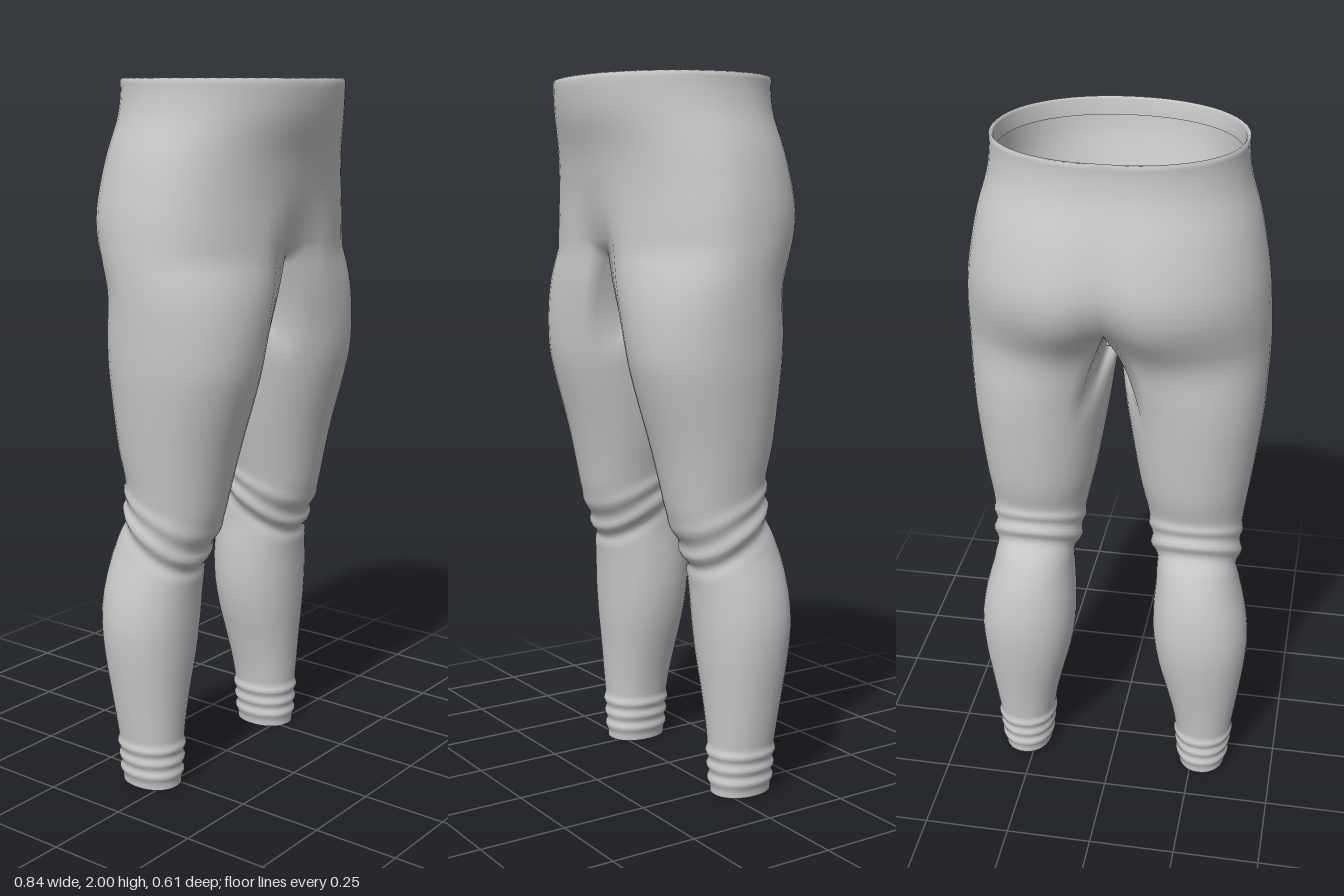
import * as THREE from 'three';
import { mergeVertices } from 'three/addons/utils/BufferGeometryUtils.js';

const M = 28, K = 12;          // points round the outer half, points along the crotch seam
const TOP = 1.53, SPLIT = 1.2; // seam height, height where the legs are fully separate

// y, half width, back z, front z, back cleft, front dip
const PELVIS = [
  [2.0, 0.34, -0.25, 0.31, 0.004, 0], [1.97, 0.338, -0.247, 0.31, 0.004, 0],
  [1.9, 0.347, -0.255, 0.302, 0.006, 0], [1.8, 0.377, -0.287, 0.275, 0.012, 0],
  [1.7, 0.398, -0.311, 0.262, 0.02, 0.004], [1.63, 0.409, -0.317, 0.26, 0.03, 0.016],
  [1.57, 0.414, -0.306, 0.26, 0.045, 0.036], [TOP, 0.417, -0.288, 0.26, 0.058, 0.056],
];
// y, inner x, outer x, back z, front z
const LEG = [
  [TOP, 0, 0.417, -0.27, 0.26], [1.43, 0.002, 0.42, -0.216, 0.26], [1.3, 0.016, 0.416, -0.2, 0.25],
  [1.2, 0.03, 0.41, -0.19, 0.235], [1.0, 0.065, 0.386, -0.165, 0.18], [0.9, 0.088, 0.372, -0.142, 0.157],
  [0.8, 0.108, 0.362, -0.145, 0.135], [0.7, 0.125, 0.365, -0.185, 0.092], [0.6, 0.12, 0.39, -0.205, 0.074],
  [0.5, 0.121, 0.404, -0.21, 0.066], [0.4, 0.135, 0.4, -0.2, 0.058], [0.3, 0.16, 0.388, -0.183, 0.048],
  [0.2, 0.184, 0.375, -0.166, 0.04], [0.12, 0.196, 0.364, -0.156, 0.035], [0, 0.208, 0.352, -0.15, 0.03],
];

// smooth lookup of a table row at height y
function sample(table, y) {
  let i = 0;
  while (i < table.length - 2 && y < table[i + 1][0]) i++;
  const a = table[i], b = table[i + 1], h = b[0] - a[0], t = (y - a[0]) / h;
  const p = table[Math.max(i - 1, 0)], n = table[Math.min(i + 2, table.length - 1)];
  return a.map((v, k) => {
    const m0 = (b[k] - p[k]) / (b[0] - p[0]) * h, m1 = (n[k] - v) / (n[0] - a[0]) * h;
    return v * (2 * t ** 3 - 3 * t * t + 1) + m0 * (t ** 3 - 2 * t * t + t)
      + b[k] * (3 * t * t - 2 * t ** 3) + m1 * (t ** 3 - t * t);
  });
}
const bump = (v, w) => Math.exp(-((v / w) ** 2));
const power = (v, e) => Math.sign(v) * Math.abs(v) ** e;

// half ring of the pelvis, from front centre round the side to back centre
function pelvisRing(y, scale = 1, yOut = y) {
  const [, w, zb, zf, cleft, dip] = sample(PELVIS, y), mid = 0.02, ring = [];
  for (let j = 0; j <= M; j++) {
    const a = Math.PI * j / M, c = Math.cos(a);
    const x = j === 0 || j === M ? 0 : w * Math.sin(a) ** 0.95;
    const crease = bump(x, 0.075);
    const z = mid + (c > 0 ? (zf - mid) * c ** 0.95 - dip * crease : (zb - mid) * (-c) ** 0.9 + cleft * crease);
    ring.push(new THREE.Vector3(x * scale, yOut, mid + (z - mid) * scale));
  }
  return ring;
}

// closed ring of one leg, with the knee folds and ankle gathers
function legRing(level) {
  const ring = [];
  for (let j = 0; j < M + K; j++) {
    const deg = j <= M ? 130 - 260 * j / M : -130 - 100 * (j - M) / K;
    const a = deg * Math.PI / 180, c = Math.cos(a), s = Math.sin(a);
    const y = level - 0.075 * s * bump(level - 0.76, 0.2);
    const [, xi, xo, zb, zf] = sample(LEG, y);
    let fold = 0.011 * bump(level - 0.765, 0.018) + 0.007 * bump(level - 0.825, 0.018) - 0.006 * bump(level - 0.73, 0.02);
    for (const g of [0.04, 0.08, 0.12]) fold += 0.007 * bump(level - g, 0.012);
    ring.push(new THREE.Vector3(
      (xi + xo) / 2 + ((xo - xi) / 2 + fold) * power(c, 0.94), y,
      (zb + zf) / 2 + ((zf - zb) / 2 + fold) * power(s, 0.94)));
  }
  return ring;
}

// pelvis rows: turned-in waist hem, then down to the seam
function pelvisRows() {
  const rows = [pelvisRing(1.95, 0.955), pelvisRing(2, 0.96, 1.992), pelvisRing(2, 0.978, 2), pelvisRing(2, 0.995, 1.997)];
  for (const y of [1.985, 1.97, 1.95]) rows.push(pelvisRing(y));
  for (let i = 1; i <= 14; i++) rows.push(pelvisRing(THREE.MathUtils.lerp(1.95, TOP, i / 14)));
  return rows;
}

// leg rows: blend from the pelvis edge and crotch seam into separate tubes
function legRows(edge) {
  const seam = edge.map((p) => p.clone()), front = edge[0].z, back = edge[M].z;
  for (let k = 1; k < K; k++) {
    const u = k / K;
    seam.push(new THREE.Vector3(0, TOP - 0.1 * Math.sin(Math.PI * u) ** 0.7, THREE.MathUtils.lerp(front, back, u)));
  }
  const base = legRing(TOP), rows = [];
  for (let i = 0; i <= 12; i++) {
    const s = i / 12;
    rows.push(legRing(THREE.MathUtils.lerp(TOP, SPLIT, s)).map((p, j) =>
      p.addScaledVector(seam[j].clone().sub(base[j]), (1 - s) ** 2)));
  }
  const down = (from, to, n) => {
    for (let i = 1; i <= n; i++) rows.push(legRing(THREE.MathUtils.lerp(from, to, i / n)));
  };
  down(SPLIT, 0.9, 7);
  down(0.9, 0.68, 20);
  down(0.68, 0.15, 13);
  down(0.15, 0, 20);
  return rows;
}

export function createModel() {
  const group = new THREE.Group();
  group.name = 'leggings';
  const material = new THREE.MeshStandardMaterial({ color: 0xcccccc, side: THREE.DoubleSide });
  const positions = [], index = [];

  // stitch rows of points into a skin
  const skin = (rows, closed, side) => {
    const start = positions.length / 3, n = rows[0].length;
    for (const p of rows.flat()) positions.push(p.x * side, p.y, p.z);
    for (let i = 0; i < rows.length - 1; i++) {
      for (let j = 0; j < (closed ? n : n - 1); j++) {
        const a = start + i * n + j, b = start + i * n + (j + 1) % n, c = a + n, d = b + n;
        if (side > 0) index.push(a, c, b, b, c, d);
        else index.push(a, b, c, b, d, c);
      }
    }
  };
  const hips = pelvisRows(), leg = legRows(hips[hips.length - 1]);
  for (const side of [1, -1]) {
    skin(hips, false, side);
    skin(leg, true, side);

    // flat closure at the ankle
    const outline = leg[leg.length - 1].map((p) => new THREE.Vector2(p.x * side, p.z));
    const cap = new THREE.Mesh(new THREE.ShapeGeometry(new THREE.Shape(outline)).rotateX(Math.PI / 2), material);
    cap.name = side > 0 ? 'leftAnkleEnd' : 'rightAnkleEnd';
    group.add(cap);
  }

  // both halves welded so shading runs smoothly over the centre
  let geometry = new THREE.BufferGeometry();
  geometry.setAttribute('position', new THREE.Float32BufferAttribute(positions, 3));
  geometry.setIndex(index);
  geometry = mergeVertices(geometry, 1e-5);
  geometry.computeVertexNormals();
  const cloth = new THREE.Mesh(geometry, material);
  cloth.name = 'hipsAndLegs';
  group.add(cloth);
  return group;
}
